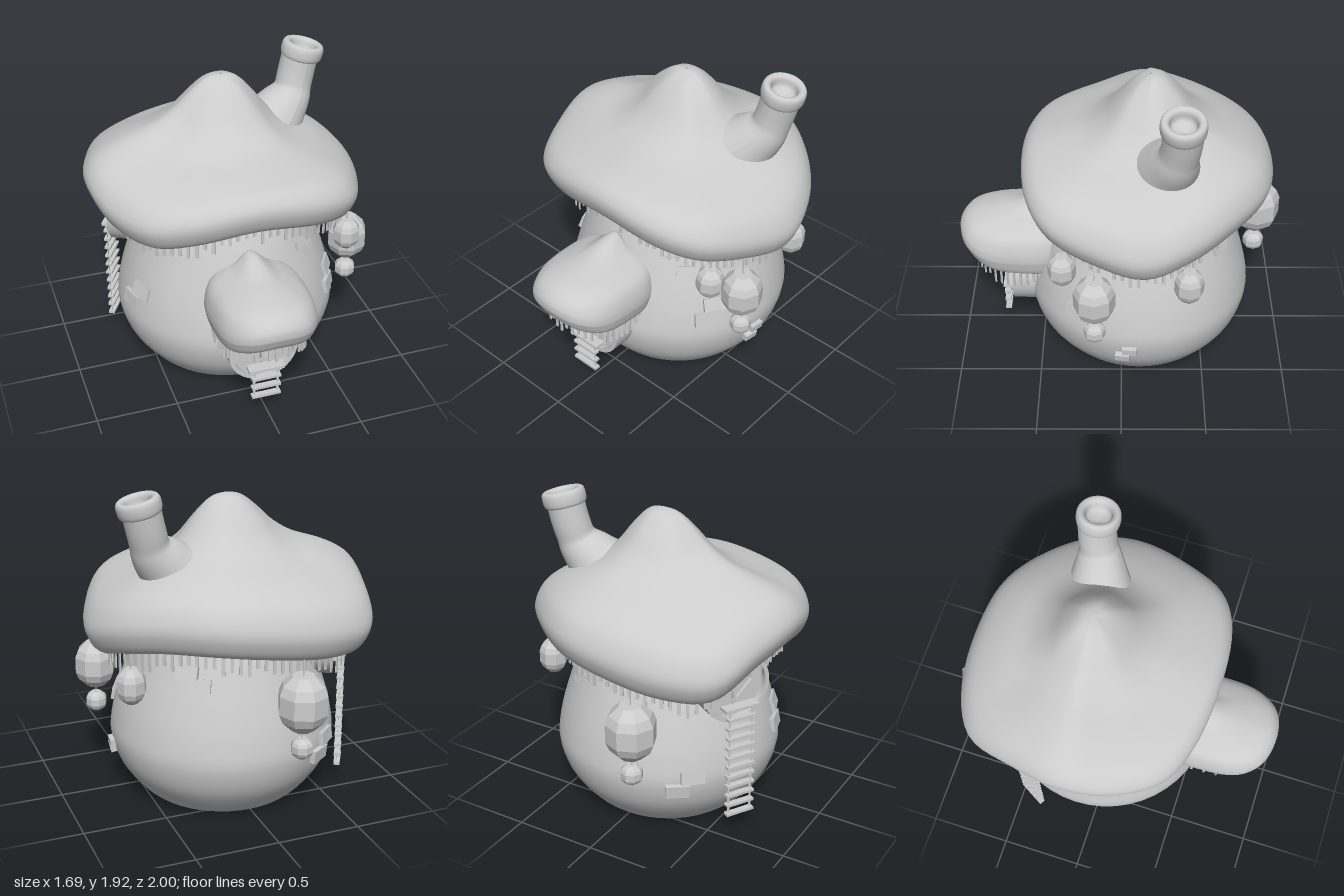
import * as THREE from 'three';

const mat = new THREE.MeshStandardMaterial({ color: 0xcccccc, side: THREE.DoubleSide });
const flat = new THREE.MeshStandardMaterial({ color: 0xcccccc, flatShading: true });
const V = (x, y, z) => new THREE.Vector3(x, y, z);
const CZ = -0.11; // z of the body axis

let seed = 7;
const rand = () => (seed = (seed * 16807) % 2147483647) / 2147483647;

function add(parent, name, geometry, material = mat, x = 0, y = 0, z = 0) {
  const m = new THREE.Mesh(geometry, material);
  m.name = name;
  m.position.set(x, y, z);
  parent.add(m);
  return m;
}
const box = (parent, name, w, h, d, x, y, z) => add(parent, name, new THREE.BoxGeometry(w, h, d), flat, x, y, z);

// Body outline: radius and height
const bodyCurve = new THREE.SplineCurve([[0.47, 0], [0.535, 0.06], [0.635, 0.2], [0.682, 0.36], [0.668, 0.5], [0.63, 0.65],
  [0.575, 0.82], [0.51, 1], [0.42, 1.18], [0.28, 1.35]].map(p => new THREE.Vector2(...p)));
const bodyPoints = bodyCurve.getPoints(40);
const bodyRadius = y => bodyPoints.find(p => p.y >= y).x;

// Mushroom cap: a rim loop drawn in towards the apex along a profile.
// Profile: [part of rim radius, height]; height is a share of the rise above the rim, or a drop below it.
// The hollow lowers the front slope under the apex.
function capGeometry(rim, apex, profile, hollow) {
  const rows = new THREE.SplineCurve(profile.map(p => new THREE.Vector2(...p))).getPoints(48);
  const n = 80, pos = [], idx = [];
  const loop = rim.getPoints(n).slice(0, n);
  rows.forEach(({ x: s, y: h }, i) => loop.forEach((p, j) => {
    const dx = p.x - apex.x, dz = p.z - apex.z;
    const dip = h > 0 ? hollow * Math.max(0, dz / Math.hypot(dx, dz)) * 4 * s * Math.max(0, 1 - s) : 0;
    pos.push(apex.x + dx * s, p.y + (h > 0 ? (apex.y - p.y) * h : h) - dip, apex.z + dz * s);
    if (i === rows.length - 1) return;
    const a = i * n + j, d = i * n + (j + 1) % n;
    idx.push(a, a + n, d, a + n, d + n, d);
  }));
  const g = new THREE.BufferGeometry();
  g.setAttribute('position', new THREE.Float32BufferAttribute(pos, 3));
  g.setIndex(idx);
  g.computeVertexNormals();
  return g;
}

// Strips hanging under the rim of a cap
function fringe(parent, name, rim, apex, count, s, drop, minLength, width, minZ) {
  const g = new THREE.Group();
  g.name = name;
  parent.add(g);
  for (const p of rim.getSpacedPoints(count).slice(0, count)) {
    const len = minLength * (1 + 0.5 * rand());
    const x = apex.x + (p.x - apex.x) * s, z = apex.z + (p.z - apex.z) * s;
    if (z < minZ) continue;
    const m = box(g, 'strip', width, len, 0.008, x, p.y - drop - len / 2, z);
    m.rotation.y = Math.atan2(p.x - apex.x, p.z - apex.z);
  }
}

// Round doorway with ladder; local +z points outwards, origin at the centre of the front ring
function doorway(parent, name, bottom) {
  const g = new THREE.Group();
  g.name = name;
  parent.add(g);
  const tunnel = new THREE.CylinderGeometry(0.215, 0.215, 0.4, 40, 1, true).rotateX(Math.PI / 2);
  add(g, 'tunnel', tunnel, mat, 0, 0, -0.2);
  add(g, 'doorFrame', new THREE.RingGeometry(0.19, 0.215, 40), mat);
  add(g, 'frameInside', new THREE.CylinderGeometry(0.19, 0.19, 0.04, 40, 1, true).rotateX(Math.PI / 2), mat, 0, 0, -0.02);
  add(g, 'doorPanel', new THREE.CircleGeometry(0.192, 40), mat, 0, 0, -0.04);
  add(g, 'tunnelBack', new THREE.CircleGeometry(0.215, 40), mat, 0, 0, -0.4);
  // diamond window with a centre bar
  for (let i = 0; i < 4; i++) {
    const a = Math.PI / 4 + i * Math.PI / 2;
    const bar = box(g, 'windowBar', 0.175, 0.014, 0.02, Math.cos(a) * 0.085, 0.02 + Math.sin(a) * 0.085, -0.03);
    bar.rotation.z = a + Math.PI / 2;
  }
  box(g, 'centreBar', 0.02, 0.26, 0.02, 0, 0.02, -0.03);
  // ladder
  const low = bottom - 0.005, top = -0.1;
  box(g, 'ladderPlatform', 0.22, 0.018, 0.07, 0, top, 0.037);
  const steps = Math.round((top - bottom) / 0.062);
  for (let i = 1; i <= steps; i++) box(g, 'ladderRung', 0.18, 0.016, 0.038, 0, top + (bottom - top) * i / steps, 0.05);
  for (const x of [-0.073, 0.073]) add(g, 'ladderRail', new THREE.PlaneGeometry(0.016, top - low), mat, x, (top + low) / 2, 0.05);
  return g;
}

// Faceted paper lantern with a string
function lantern(parent, x, y, z, r, h, stringTop) {
  const pts = [[0, -0.5], [0.45, -0.5], [0.85, -0.33], [1, -0.17], [1, 0.17], [0.85, 0.33], [0.45, 0.5], [0, 0.5]];
  add(parent, 'lantern', new THREE.LatheGeometry(pts.map(p => new THREE.Vector2(p[0] * r, p[1] * h)), 8), flat, x, y, z);
  const from = y + h / 2;
  box(parent, 'lanternString', 0.006, stringTop - from, 0.006, x, (stringTop + from) / 2, z);
}

export function createModel() {
  const model = new THREE.Group();
  model.name = 'mushroomHouse';

  add(model, 'body', new THREE.LatheGeometry(bodyPoints, 48), mat, 0, 0, CZ);

  // Main cap
  const rim = new THREE.CatmullRomCurve3([[0, 1.325, 0.59], [0.4, 1.275, 0.55], [0.62, 1.225, 0.43], [0.76, 1.165, 0.18],
    [0.84, 1.12, -0.13], [0.76, 1.18, -0.4], [0.58, 1.23, -0.63], [0.3, 1.24, -0.84], [0, 1.21, -0.905], [-0.4, 1.16, -0.88],
    [-0.67, 1.15, -0.74], [-0.795, 1.26, -0.42], [-0.85, 1.31, -0.12], [-0.785, 1.25, 0.17], [-0.62, 1.24, 0.43],
    [-0.4, 1.275, 0.54]].map(p => V(...p)), true);
  const apex = V(0, 1.84, -0.165);
  add(model, 'cap', capGeometry(rim, apex, [[0.005, 1], [0.08, 0.985], [0.15, 0.93], [0.24, 0.81], [0.35, 0.645], [0.5, 0.5],
    [0.7, 0.385], [0.86, 0.265], [0.95, 0.15], [1, 0], [0.985, -0.08], [0.94, -0.145], [0.88, -0.165], [0.81, -0.13],
    [0.6, -0.05], [0.4, -0.01]], 0.08));
  fringe(model, 'capFringe', rim, apex, 88, 0.83, 0.1, 0.13, 0.02, -2);

  // Hood over the front door
  const hoodRim = new THREE.CatmullRomCurve3([[0, 0.79, 1], [0.17, 0.765, 0.96], [0.265, 0.73, 0.85], [0.3, 0.715, 0.66],
    [0.265, 0.71, 0.4], [0, 0.73, 0.26], [-0.265, 0.71, 0.4], [-0.3, 0.715, 0.66], [-0.265, 0.73, 0.85], [-0.17, 0.765, 0.96]]
    .map(p => V(p[0] - 0.017, p[1], p[2])), true);
  const hoodApex = V(-0.02, 0.985, 0.44);
  add(model, 'doorHood', capGeometry(hoodRim, hoodApex, [[0.005, 1], [0.1, 0.97], [0.25, 0.82], [0.4, 0.69], [0.6, 0.6],
    [0.8, 0.48], [0.93, 0.3], [1, 0], [0.98, -0.07], [0.93, -0.125], [0.87, -0.145], [0.78, -0.11], [0.5, -0.04], [0.2, 0]], 0));
  fringe(model, 'hoodFringe', hoodRim, hoodApex, 46, 0.84, 0.09, 0.115, 0.016, 0.5);

  // Chimney: a bent pipe flaring into the cap
  const path = new THREE.CatmullRomCurve3([V(0.32, 1.39, -0.25), V(0.42, 1.49, -0.28), V(0.495, 1.58, -0.305),
    V(0.53, 1.69, -0.325), V(0.57, 1.86, -0.335)]);
  const pipe = new THREE.TubeGeometry(path, 30, 0.112, 28);
  const pos = pipe.attributes.position, v = new THREE.Vector3();
  for (let i = 0; i < pos.count; i++) {
    const t = Math.floor(i / 29) / 30, c = path.getPointAt(t);
    v.fromBufferAttribute(pos, i).sub(c).multiplyScalar(1 + 0.9 * Math.max(0, 1 - t / 0.55)).add(c);
    pos.setXYZ(i, v.x, v.y, v.z);
  }
  pipe.computeVertexNormals();
  add(model, 'chimney', pipe);
  const lip = new THREE.SplineCurve([[0.1, -0.05], [0.12, -0.045], [0.128, -0.02], [0.128, 0.02], [0.118, 0.042],
    [0.1, 0.045], [0.08, 0.03], [0.065, -0.02], [0.001, -0.04]].map(p => new THREE.Vector2(...p)));
  const collar = add(model, 'chimneyLip', new THREE.LatheGeometry(lip.getPoints(32), 32), mat, 0.572, 1.845, -0.33);
  collar.rotation.z = -0.24;

  // Doorways at the front and, higher up, at the side
  doorway(model, 'frontDoor', -0.295).position.set(-0.012, 0.435, 0.68);
  const side = doorway(model, 'sideDoor', -0.795);
  side.position.set(-0.617, 0.94, -0.388);
  side.rotation.y = -Math.PI / 2 - 0.53;

  // Lanterns: x, y, z, radius, height, top of string
  [[0.63, 0.92, 0.34, 0.082, 0.19, 1.12], [0.72, 0.77, 0.155, 0.122, 0.28, 1.06], [0.72, 0.525, 0.155, 0.064, 0.12, 0.64],
    [0.66, 0.825, -0.39, 0.086, 0.21, 1.1], [-0.2, 0.77, -0.85, 0.147, 0.33, 1.12], [-0.2, 0.49, -0.85, 0.066, 0.12, 0.62]]
    .forEach(l => lantern(model, ...l));

  // Bricks set into the wall: angle around the body, height, width, brick height
  [[0.65, 0.89, 0.09, 0.05], [0.77, 0.835, 0.09, 0.05], [1.06, 0.61, 0.14, 0.085], [0.97, 0.525, 0.14, 0.085],
    [-1.2, 0.61, 0.14, 0.085], [-1.32, 0.52, 0.14, 0.085], [1.48, 0.335, 0.085, 0.045], [1.42, 0.28, 0.085, 0.045],
    [2.55, 0.84, 0.13, 0.075], [2.41, 0.905, 0.13, 0.075], [-2.4, 0.42, 0.14, 0.08], [-2.53, 0.34, 0.14, 0.08]]
    .forEach(([a, y, w, h]) => {
      const r = bodyRadius(y);
      const brick = box(model, 'brick', w, h, 0.05, Math.sin(a) * r, y, CZ + Math.cos(a) * r);
      const slope = Math.atan2(bodyRadius(y - 0.04) - bodyRadius(y + 0.04), 0.08);
      brick.rotation.set(-slope, a, 0, 'YXZ');
    });

  return model;
}
